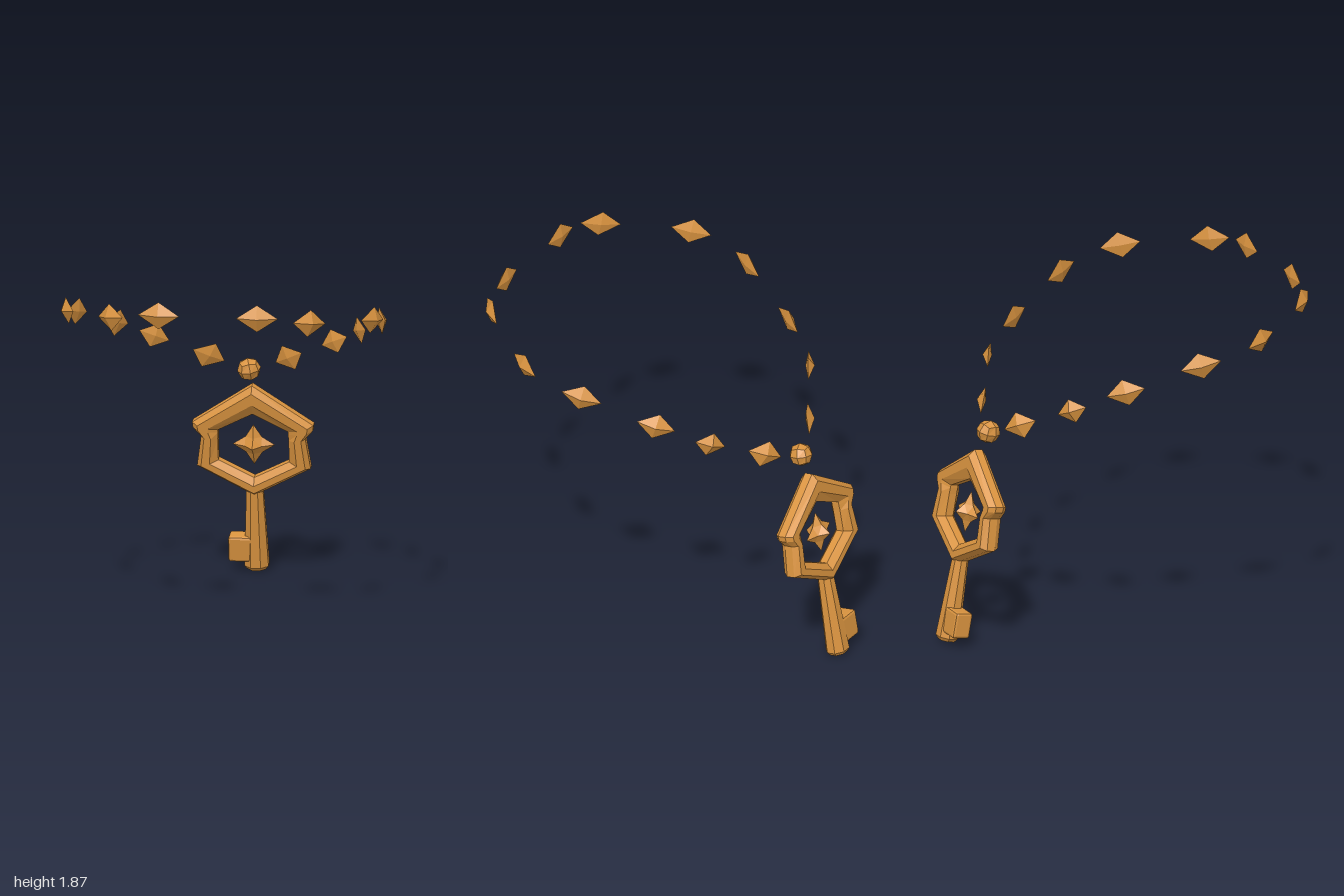
import * as THREE from 'three';
import { RoundedBoxGeometry } from 'three/addons/geometries/RoundedBoxGeometry.js';

const bronze = new THREE.MeshStandardMaterial({ color: 0xd9933f, flatShading: true });
bronze.name = 'bronze';

function part(name, geometry, parent) {
  const mesh = new THREE.Mesh(geometry, bronze);
  mesh.name = name;
  parent.add(mesh);
  return mesh;
}

// Beads of the left half: leading tip, trailing tip, offset of the upper corner
const BEADS = [
  [[0.37, 1.80, 0.945], [0.15, 1.80, 0.96], [0, 0.072, 0]],
  [[0.60, 1.748, 0.795], [0.45, 1.782, 0.95], [0.008, 0.07, -0.01]],
  [[0.85, 1.685, 0.393], [0.76, 1.72, 0.585], [0.01, 0.069, -0.011]],
  [[0.762, 1.592, 0.04], [0.84, 1.642, 0.238], [-0.01, 0.069, -0.013]],
  [[0.593, 1.452, -0.31], [0.685, 1.50, -0.13], [-0.015, 0.069, -0.015]],
  [[0.402, 1.322, -0.498], [0.548, 1.395, -0.405], [-0.022, 0.06, -0.012]],
  [[0.134, 1.18, -0.675], [0.287, 1.262, -0.568], [-0.037, 0.061, -0.008]],
];

// Flattened octahedron, bulging more on the outside of the chain
function beadGeometry([a, b, up], side) {
  const flip = (p) => new THREE.Vector3(p[0] * side, p[1], p[2]);
  const tipA = flip(a), tipB = flip(b), upper = flip(up);
  const along = tipA.clone().sub(tipB).multiplyScalar(0.5 * side);
  const outward = along.clone().cross(upper).normalize().multiplyScalar(0.034);
  const geometry = new THREE.OctahedronGeometry(1);
  const pos = geometry.attributes.position;
  for (let i = 0; i < pos.count; i++) if (pos.getZ(i) < 0) pos.setZ(i, pos.getZ(i) * 0.45);
  const middle = tipA.add(tipB).multiplyScalar(0.5);
  geometry.applyMatrix4(new THREE.Matrix4().makeBasis(along, upper, outward).setPosition(middle));
  geometry.computeVertexNormals();
  return geometry;
}

// Cube of 24 quads blown up to a faceted ball
function ballGeometry(radius) {
  const geometry = new THREE.BoxGeometry(1, 1, 1, 2, 2, 2);
  const pos = geometry.attributes.position, v = new THREE.Vector3();
  for (let i = 0; i < pos.count; i++) {
    v.fromBufferAttribute(pos, i).setLength(radius);
    pos.setXYZ(i, v.x, v.y, v.z);
  }
  geometry.computeVertexNormals();
  return geometry;
}

// Hexagonal ring with an octagonal section swept through outer and inner corners
function ringGeometry() {
  const half = [
    [0.32, 0.825, 0.185, 0.785],
    [0.317, 0.795, 0.185, 0.77],
    [0.275, 0.748, 0.187, 0.735],
    [0.30, 0.58, 0.187, 0.615],
  ];
  const stations = [
    [0, 1.04, 0, 0.88], ...half, [0, 0.42, 0, 0.52],
    ...half.slice().reverse().map(([ox, oy, ix, iy]) => [-ox, oy, -ix, iy]),
  ];
  const section = [[1, 0.022], [0.78, 0.053], [0.38, 0.053], [0, 0.022],
    [0, -0.022], [0.38, -0.053], [0.78, -0.053], [1, -0.022]];
  const points = [], index = [], n = section.length;
  stations.forEach(([ox, oy, ix, iy], s) => {
    const next = (s + 1) % stations.length;
    section.forEach(([t, z], k) => {
      points.push(ix + (ox - ix) * t, iy + (oy - iy) * t, z);
      const k2 = (k + 1) % n;
      const a = s * n + k, b = s * n + k2, c = next * n + k2, d = next * n + k;
      index.push(a, b, c, a, c, d);
    });
  });
  const geometry = new THREE.BufferGeometry();
  geometry.setAttribute('position', new THREE.Float32BufferAttribute(points, 3));
  geometry.setIndex(index);
  geometry.computeVertexNormals();
  return geometry;
}

// Six-pointed star: octahedron whose edge midpoints are pulled inward
function starGeometry() {
  const geometry = new THREE.OctahedronGeometry(1, 1);
  const pos = geometry.attributes.position, v = new THREE.Vector3();
  for (let i = 0; i < pos.count; i++) {
    v.fromBufferAttribute(pos, i);
    if (Math.max(Math.abs(v.x), Math.abs(v.y), Math.abs(v.z)) < 0.9) v.multiplyScalar(0.55);
    pos.setXYZ(i, v.x * 0.112, v.y * 0.112, v.z * 0.075);
  }
  geometry.computeVertexNormals();
  return geometry;
}

export function createModel() {
  const model = new THREE.Group();
  model.name = 'keyNecklace';

  // Chain of beads, mirrored left and right
  const chain = new THREE.Group();
  chain.name = 'beadChain';
  model.add(chain);
  BEADS.forEach((bead, i) => {
    part('leftBead' + (i + 1), beadGeometry(bead, 1), chain);
    part('rightBead' + (i + 1), beadGeometry(bead, -1), chain);
  });

  // Ball above the key
  const ball = part('ball', ballGeometry(0.063), model);
  ball.position.set(-0.01, 1.133, -0.705);
  ball.rotation.set(0.18, 0.25, 0.12);

  // Tilted key pendant
  const key = new THREE.Group();
  key.name = 'keyPendant';
  key.position.set(0, 0.01, -0.943);
  key.rotation.x = 0.178;
  key.scale.y = 1.005;
  model.add(key);

  part('keyRing', ringGeometry(), key);
  part('star', starGeometry(), key).position.set(0, 0.70, 0);

  // Tapered octagonal shaft with a small chamfer at the foot
  const shaft = part('shaft', new THREE.CylinderGeometry(0.047, 0.069, 0.44, 8, 1).rotateY(Math.PI / 8), key);
  shaft.position.y = 0.24;
  shaft.scale.z = 0.9;
  const foot = part('shaftFoot', new THREE.CylinderGeometry(0.069, 0.052, 0.02, 8, 1).rotateY(Math.PI / 8), key);
  foot.position.y = 0.01;
  foot.scale.z = 0.9;

  // Key tooth on the right
  const tooth = part('tooth', new RoundedBoxGeometry(0.135, 0.14, 0.1, 1, 0.014), key);
  tooth.position.set(-0.0765, 0.118, 0);

  return model;
}
